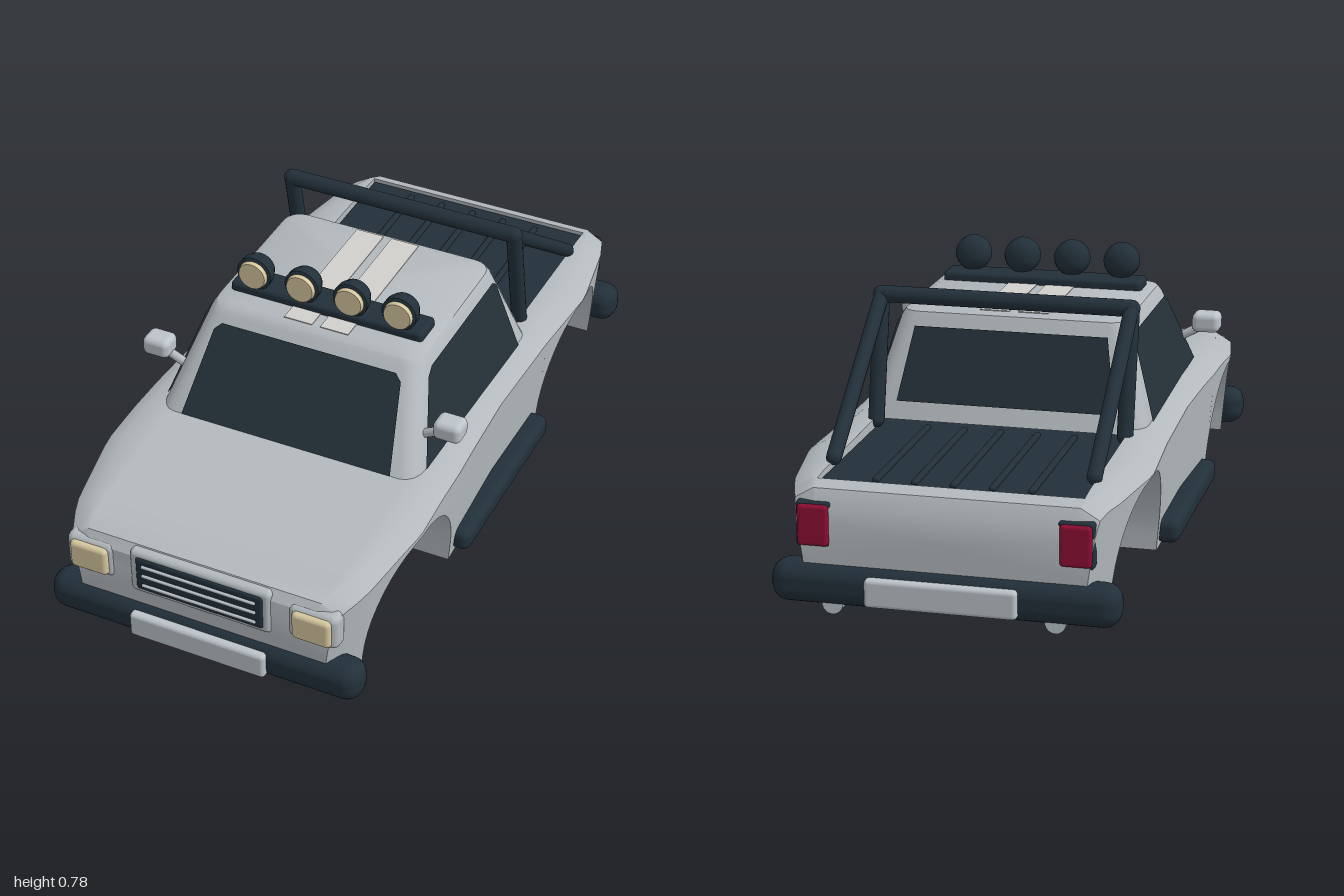
import * as THREE from 'three';
import { toCreasedNormals } from 'three/addons/utils/BufferGeometryUtils.js';
import { RoundedBoxGeometry } from 'three/addons/geometries/RoundedBoxGeometry.js';

const flat = (name, color, side = THREE.FrontSide) => {
  const m = new THREE.MeshStandardMaterial({ color, side });
  m.name = name;
  return m;
};

// Value at z from a short table of [z, value] pairs
function sample(table, z) {
  if (z <= table[0][0]) return table[0][1];
  for (let i = 1; i < table.length; i++) {
    const [z0, v0] = table[i - 1], [z1, v1] = table[i];
    if (z <= z1) return v0 + (v1 - v0) * (z - z0) / (z1 - z0);
  }
  return table[table.length - 1][1];
}

// Skin a list of equal-length closed rings and cap both ends
function loft(rings, crease) {
  const n = rings[0].length, pos = rings.flat(2), idx = [];
  for (let k = 0; k < rings.length - 1; k++) {
    for (let i = 0; i < n; i++) {
      const j = (i + 1) % n;
      const a = k * n + i, b = k * n + j, c = b + n, d = a + n;
      idx.push(a, b, c, a, c, d);
    }
  }
  [0, rings.length - 1].forEach((k) => {
    const centre = pos.length / 3;
    for (let e = 0; e < 3; e++) pos.push(rings[k].reduce((s, p) => s + p[e], 0) / n);
    for (let i = 0; i < n; i++) {
      const a = k * n + i, b = k * n + (i + 1) % n;
      if (k) idx.push(centre, a, b);
      else idx.push(centre, b, a);
    }
  });
  const g = new THREE.BufferGeometry();
  g.setAttribute('position', new THREE.Float32BufferAttribute(pos, 3));
  g.setIndex(idx);
  return toCreasedNormals(g, crease);
}

// Lower body: cross-sections along z with wheel arches and a shallow load bed
function bodyGeometry() {
  const topY = [[-0.955, 0.3], [-0.93, 0.345], [-0.88, 0.362], [-0.6, 0.369], [-0.3, 0.376], [0.2, 0.39],
    [0.46, 0.388], [0.68, 0.372], [0.85, 0.354], [0.94, 0.333], [0.96, 0.305]];
  const halfW = [[-0.955, 0.395], [-0.9, 0.415], [-0.84, 0.435], [-0.6, 0.475], [-0.33, 0.46], [0, 0.455],
    [0.33, 0.472], [0.6, 0.477], [0.84, 0.437], [0.92, 0.41], [0.96, 0.385]];
  const st = [];
  const arch = (c) => {
    st.push([c - 0.25, 0.035]);
    for (let i = 0; i <= 20; i++) {
      const t = Math.PI * (1 - i / 20);
      st.push([c + 0.25 * Math.cos(t), 0.085 + 0.25 * Math.sin(t), c < 0]);
    }
    st.push([c + 0.25, 0.035]);
  };
  st.push([-0.955, 0.05], [-0.93, 0.04], [-0.89, 0.04], [-0.89, 0.04, true]);
  arch(-0.585);
  // keep the bed recess on both arch ends
  st.forEach((s) => { if (s[0] > -0.88) s[2] = true; });
  st.push([-0.3, 0.03, true], [-0.3, 0.03], [0, 0.03], [0.2, 0.03]);
  arch(0.585);
  st.push([0.88, 0.04], [0.94, 0.04], [0.96, 0.05]);
  const rings = st.map(([z, b, bed]) => {
    const t = sample(topY, z), w = sample(halfW, z), sh = t - 0.03, mid = (b + sh) / 2;
    const wAt = (y) => w - 0.03 * (1 - y / 0.34);
    const tw = w - 0.05, inner = Math.min(0.355, tw - 0.005), floor = bed ? 0.34 : t;
    const half = [[wAt(b), b], [wAt(mid), mid], [w, sh], [tw, t], [inner, t], [inner, floor]];
    return [[0, b], ...half, [0, floor], ...half.slice().reverse().map(([x, y]) => [-x, y])]
      .map(([x, y]) => [x, y, z]);
  });
  return loft(rings, 0.6);
}

// Cab: rounded rectangles stacked upward
function cabGeometry() {
  const levels = [[0.36, 0.403, 0.477, -0.338], [0.63, 0.328, 0.292, -0.243], [0.647, 0.318, 0.277, -0.235],
    [0.656, 0.298, 0.255, -0.215]];
  return loft(levels.map(([y, x, zf, zr]) => {
    const ring = [];
    [[1, zf, 1], [1, zr, 0], [-1, zr, 0], [-1, zf, 1]].forEach(([s, z, front], q) => {
      const dz = front ? -0.065 : 0.05, cx = s * (x - 0.05);
      for (let i = 0; i <= 4; i++) {
        const u = (q % 2 ? 4 - i : i) / 4 * Math.PI / 2;
        ring.push([cx + s * 0.05 * Math.sin(u), y, z + dz * (1 - Math.cos(u))]);
      }
    });
    return ring;
  }), 0.5);
}

export function createModel() {
  const paint = flat('body paint', 0xb3b9bd);
  const trim = flat('dark trim', 0x22303a);
  const glass = flat('window glass', 0x243038, THREE.DoubleSide);
  const chrome = flat('light metal', 0xbcc3c9);
  const lens = flat('lamp lens', 0xd8c9a0);
  const red = flat('tail lamp red', 0x8c0d33);
  const stripe = flat('roof stripe', 0xd2cfcc);
  const model = new THREE.Group();
  model.name = 'pickup body';

  const add = (name, geo, mat) => {
    const m = new THREE.Mesh(geo, mat);
    m.name = name;
    model.add(m);
    return m;
  };
  // Rounded box from its limits
  const box = (name, mat, x0, x1, y0, y1, z0, z1, r = 0.01) => {
    const m = add(name, new RoundedBoxGeometry(x1 - x0, y1 - y0, z1 - z0, 3, r), mat);
    m.position.set((x0 + x1) / 2, (y0 + y1) / 2, (z0 + z1) / 2);
    return m;
  };
  // Round bar between two points
  const bar = (name, mat, a, b, r) => {
    const p = new THREE.Vector3(...a), d = new THREE.Vector3(...b).sub(p);
    const m = add(name, new THREE.CapsuleGeometry(r, d.length(), 5, 14), mat);
    m.position.copy(p).addScaledVector(d, 0.5);
    m.quaternion.setFromUnitVectors(new THREE.Vector3(0, 1, 0), d.normalize());
  };
  // Flat pane drawn in 2D and laid on a sloping face
  const pane = (name, pts, place) => {
    const g = new THREE.ShapeGeometry(new THREE.Shape(pts.map((p) => new THREE.Vector2(...p))));
    const p = g.attributes.position;
    for (let i = 0; i < p.count; i++) p.setXYZ(i, ...place(p.getX(i), p.getY(i)));
    g.computeVertexNormals();
    add(name, g, glass);
  };
  const sides = [['left', 1], ['right', -1]];

  add('body', bodyGeometry(), paint);
  add('cab', cabGeometry(), paint);

  // Windows
  const slope = (y, a, b) => a + (b - a) * (y - 0.36) / 0.27;
  pane('windshield', [[-0.32, 0.39], [0.32, 0.39], [0.285, 0.6], [0.265, 0.617], [-0.265, 0.617], [-0.285, 0.6]],
    (x, y) => [x, y, slope(y, 0.477, 0.292) + 0.005]);
  pane('rearWindow', [[0.31, 0.41], [-0.31, 0.41], [-0.275, 0.61], [0.275, 0.61]],
    (x, y) => [x, y, slope(y, -0.338, -0.243) - 0.005]);
  for (const [side, s] of sides) {
    pane(side + 'SideWindow', [[0.395, 0.392], [0.26, 0.598], [0.23, 0.614], [-0.195, 0.614], [-0.212, 0.6], [-0.25, 0.377]],
      (z, y) => [s * (slope(y, 0.403, 0.328) + 0.005), y, z]);
  }

  // Roof stripes
  for (const x of [-0.055, 0.055]) {
    const m = add('roofStripe', new THREE.BoxGeometry(0.085, 0.005, 0.47), stripe);
    m.position.set(x, 0.656, 0.02);
  }

  // Underside pan and side steps
  box('chassisPan', trim, -0.24, 0.24, 0, 0.085, -0.8, 0.8, 0.03);
  for (const [side, s] of sides) {
    box(side + 'SideStep', trim, s * 0.455 - 0.035, s * 0.455 + 0.035, 0.043, 0.112, -0.305, 0.3, 0.025);
  }

  // Bumpers with pale centre plates
  for (const [end, s] of [['front', 1], ['rear', -1]]) {
    box(end + 'Bumper', trim, -0.465, 0.465, 0.037, 0.15, s * 0.933 - 0.052, s * 0.933 + 0.052, 0.045);
    box(end + 'BumperPlate', chrome, -0.203, 0.203, 0.052, 0.13, s * 0.975 - 0.025, s * 0.975 + 0.025, 0.012);
  }

  // Grille
  box('grilleFrame', paint, -0.21, 0.21, 0.188, 0.33, 0.92, 0.968, 0.015);
  box('grille', trim, -0.19, 0.19, 0.203, 0.315, 0.93, 0.973, 0.01);
  for (const y of [0.225, 0.258, 0.29]) box('grilleBar', chrome, -0.17, 0.17, y - 0.005, y + 0.005, 0.96, 0.979, 0.004);

  for (const [side, s] of sides) {
    // Headlamps and tail lamps
    const h = s * 0.331, t = s * 0.348;
    box(side + 'HeadlampFrame', paint, h - 0.073, h + 0.073, 0.204, 0.315, 0.91, 0.967, 0.02);
    box(side + 'Headlamp', lens, h - 0.057, h + 0.057, 0.215, 0.304, 0.93, 0.98, 0.014);
    box(side + 'TailLampFrame', trim, t - 0.048, t + 0.048, 0.19, 0.315, -0.956, -0.92, 0.01);
    box(side + 'TailLamp', red, t - 0.042, t + 0.042, 0.197, 0.308, -0.968, -0.93, 0.01);
    // Mirrors
    bar(side + 'MirrorArm', paint, [s * 0.37, 0.47, 0.34], [s * 0.435, 0.505, 0.345], 0.013);
    box(side + 'MirrorHead', chrome, s * 0.445 - 0.041, s * 0.445 + 0.041, 0.488, 0.546, 0.31, 0.38, 0.018);
    // Exhaust tips
    const e = add(side + 'ExhaustTip', new THREE.CylinderGeometry(0.028, 0.028, 0.09, 18), chrome);
    e.rotation.x = Math.PI / 2;
    e.position.set(s * 0.297, 0.043, -0.92);
    // Roll bar legs
    bar(side + 'RollBarPost', trim, [s * 0.352, 0.71, -0.31], [s * 0.352, 0.37, -0.38], 0.023);
    bar(side + 'RollBarBrace', trim, [s * 0.352, 0.71, -0.31], [s * 0.352, 0.375, -0.76], 0.021);
  }
  bar('rollBarTop', trim, [-0.352, 0.711, -0.31], [0.352, 0.711, -0.31], 0.024);

  // Load bed liner with ribs
  box('bedLiner', trim, -0.353, 0.353, 0.325, 0.35, -0.888, -0.302, 0.004);
  for (let i = -2; i <= 2; i++) box('bedRib', trim, i * 0.104 - 0.009, i * 0.104 + 0.009, 0.34, 0.36, -0.86, -0.36, 0.006);

  // Roof light bar
  box('lightBar', trim, -0.293, 0.293, 0.645, 0.682, 0.105, 0.2, 0.012);
  const shell = [[0, -0.035], [0.025, -0.032], [0.043, -0.02], [0.051, 0], [0.052, 0.025], [0.045, 0.028], [0, 0.028]];
  for (const x of [-0.221, -0.074, 0.074, 0.221]) {
    const lamp = add('roofLampHousing', toCreasedNormals(
      new THREE.LatheGeometry(shell.map((p) => new THREE.Vector2(...p)), 24), 0.7), trim);
    lamp.rotation.x = Math.PI / 2;
    lamp.position.set(x, 0.725, 0.168);
    const face = add('roofLampLens', new THREE.CylinderGeometry(0.04, 0.044, 0.016, 24), lens);
    face.rotation.x = Math.PI / 2;
    face.position.set(x, 0.725, 0.2);
  }
  return model;
}
